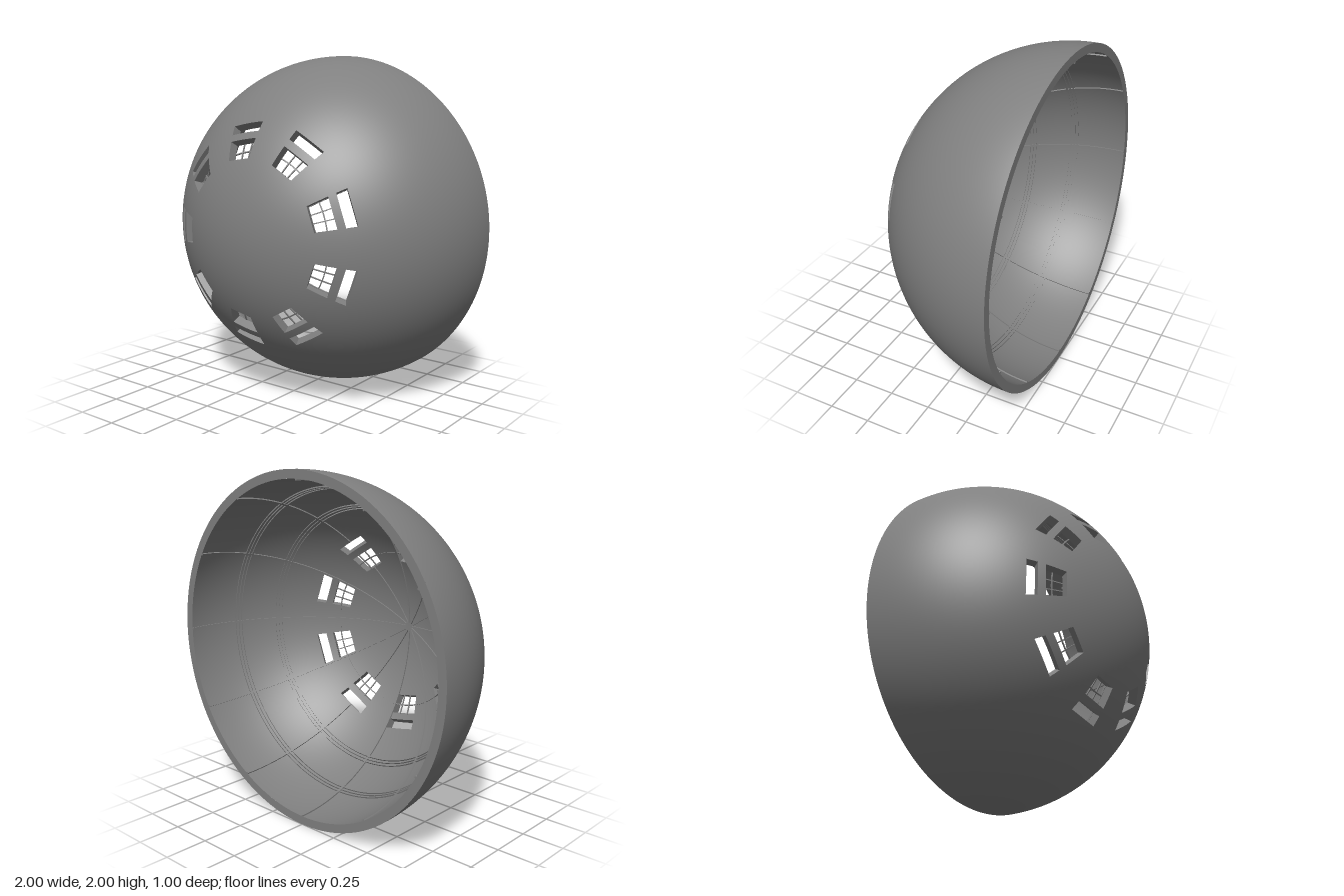
import * as THREE from 'three';
import { mergeGeometries, toCreasedNormals } from 'three/addons/utils/BufferGeometryUtils.js';

const OUTER = 1, INNER = 0.95, RIB = 0.942;
const rad = THREE.MathUtils.degToRad, mix = THREE.MathUtils.lerp;
const SECTORS = 9, STEP = 40, HALF = 9.5;      // openings around the dome, in degrees
const PANE = [26.2, 33.2], SLOT = [35.8, 39.4]; // openings measured from the pole

// Point of the shell, pole towards +z; across an opening the parallels are straightened
function at(r, t, p) {
  const d = Math.abs(THREE.MathUtils.euclideanModulo(p, STEP) - 20);
  const a = Math.atan2(Math.sin(rad(t)) * Math.cos(rad(5)), Math.cos(rad(t)) * Math.cos(rad(Math.min(d, HALF))));
  return new THREE.Vector3(Math.sin(a) * Math.cos(rad(p)), Math.sin(a) * Math.sin(rad(p)), Math.cos(a)).multiplyScalar(r);
}

// Grid surface over f(u, v); sign gives radial normals (1 out, -1 in), 0 computes them
function patch(f, nu, nv, sign = 0) {
  const pos = [], nor = [], uv = [], idx = [];
  for (let i = 0; i <= nu; i++) for (let j = 0; j <= nv; j++) {
    const p = f(i / nu, j / nv);
    pos.push(...p.toArray());
    nor.push(...p.normalize().multiplyScalar(sign || 1).toArray());
    uv.push(i / nu, j / nv);
    if (i < nu && j < nv) {
      const a = i * (nv + 1) + j, b = a + nv + 1;
      idx.push(a, b, b + 1, a, b + 1, a + 1);
    }
  }
  const g = new THREE.BufferGeometry();
  g.setAttribute('position', new THREE.Float32BufferAttribute(pos, 3));
  g.setAttribute('normal', new THREE.Float32BufferAttribute(nor, 3));
  g.setAttribute('uv', new THREE.Float32BufferAttribute(uv, 2));
  g.setIndex(idx);
  if (!sign) g.computeVertexNormals();
  return g;
}

// Outer and inner skin of one piece of the shell
function skin(t0, t1, p0, p1, nt) {
  return [
    patch((u, v) => at(OUTER, mix(t0, t1, u), mix(p0, p1, v)), nt, 10, 1),
    patch((u, v) => at(INNER, mix(t0, t1, v), mix(p0, p1, u)), 10, nt, -1),
  ];
}

// Four walls lining an opening through the shell
function reveal(t0, t1, p0, p1, nt) {
  const r = k => mix(INNER, OUTER, k), t = k => mix(t0, t1, k), p = k => mix(p0, p1, k);
  return [
    patch((u, v) => at(r(v), t0, p(u)), 10, 1),
    patch((u, v) => at(r(u), t1, p(v)), 1, 10),
    patch((u, v) => at(r(u), t(v), p0), 1, nt),
    patch((u, v) => at(r(v), t(u), p1), nt, 1),
  ];
}

function shellGeometry() {
  const bands = [[0, PANE[0], 12], [...PANE, 4, true], [PANE[1], SLOT[0], 2],
    [...SLOT, 2, true], [SLOT[1], 90, 25]];
  const parts = [];
  for (let k = 0; k < SECTORS; k++) {
    const c = 20 + k * STEP, a = c - HALF, b = c + HALF, next = a + STEP;
    for (const [t0, t1, n, open] of bands) {
      parts.push(...skin(t0, t1, b, next, n));
      parts.push(...(open ? reveal : skin)(t0, t1, a, b, n));
    }
  }
  // Flat rim at the open back
  parts.push(new THREE.RingGeometry(INNER, OUTER, 180).rotateY(Math.PI));
  return mergeGeometries(parts);
}

// Curved bar running along a meridian
function meridianBar(t0, t1, phi, width, r0, r1) {
  const s = new THREE.Shape();
  const a0 = rad(90 - t0), a1 = rad(90 - t1);
  s.absarc(0, 0, r1, a1, a0, false);
  s.absarc(0, 0, r0, a0, a1, true);
  return new THREE.ExtrudeGeometry(s, { depth: width, bevelEnabled: false, curveSegments: t1 - t0 > 20 ? 32 : 6 })
    .translate(0, 0, -width / 2).rotateX(Math.PI / 2).rotateZ(rad(phi));
}

// Square-section hoop around the axis
function hoop(t, width, r0, r1) {
  const d = width / 2 * 180 / Math.PI;
  const corner = (r, a) => new THREE.Vector2(r * Math.sin(rad(a)), r * Math.cos(rad(a)));
  const profile = [corner(r1, t + d), corner(r1, t - d), corner(r0, t - d), corner(r0, t + d), corner(r1, t + d)];
  return toCreasedNormals(new THREE.LatheGeometry(profile, 120).rotateX(Math.PI / 2), 0.6);
}

export function createModel() {
  const model = new THREE.Group();
  model.name = 'dome';
  const material = new THREE.MeshStandardMaterial({ color: 0x808080 });
  const add = (name, geometry) => {
    const m = new THREE.Mesh(geometry, material);
    m.name = name;
    m.position.set(0, 1, -0.5);
    model.add(m);
  };

  add('shell', shellGeometry());

  // Twelve ribs from the pole to the rim, broken where an opening is in the way
  const ribs = [];
  for (let phi = 0; phi < 360; phi += 30) {
    const blocked = (phi - 20 + 360) % STEP === 0;
    const spans = blocked ? [[0, PANE[0]], [SLOT[1], 90]] : [[0, 90]];
    for (const [a, b] of spans) ribs.push(meridianBar(a, b, phi, 0.012, RIB, INNER + 0.003));
  }
  add('ribs', mergeGeometries(ribs));

  // Single hoop that also crosses the windows, and two triple hoops
  add('windowHoop', hoop(30, 0.007, INNER - 0.004, INNER + 0.003));
  for (const [name, t] of [['middleHoops', 54], ['rearHoops', 70]]) {
    add(name, mergeGeometries([-1.2, 0, 1.2].map(o => hoop(t + o, 0.01, RIB, INNER + 0.003))));
  }

  // Two glazing bars in every window
  const bars = [];
  for (let k = 0; k < SECTORS; k++) for (const o of [-1, 1]) {
    bars.push(meridianBar(PANE[0] - 0.3, PANE[1] + 0.3, 20 + k * STEP + o * HALF / 3, 0.006, INNER - 0.004, INNER + 0.003));
  }
  add('glazingBars', mergeGeometries(bars));

  return model;
}
